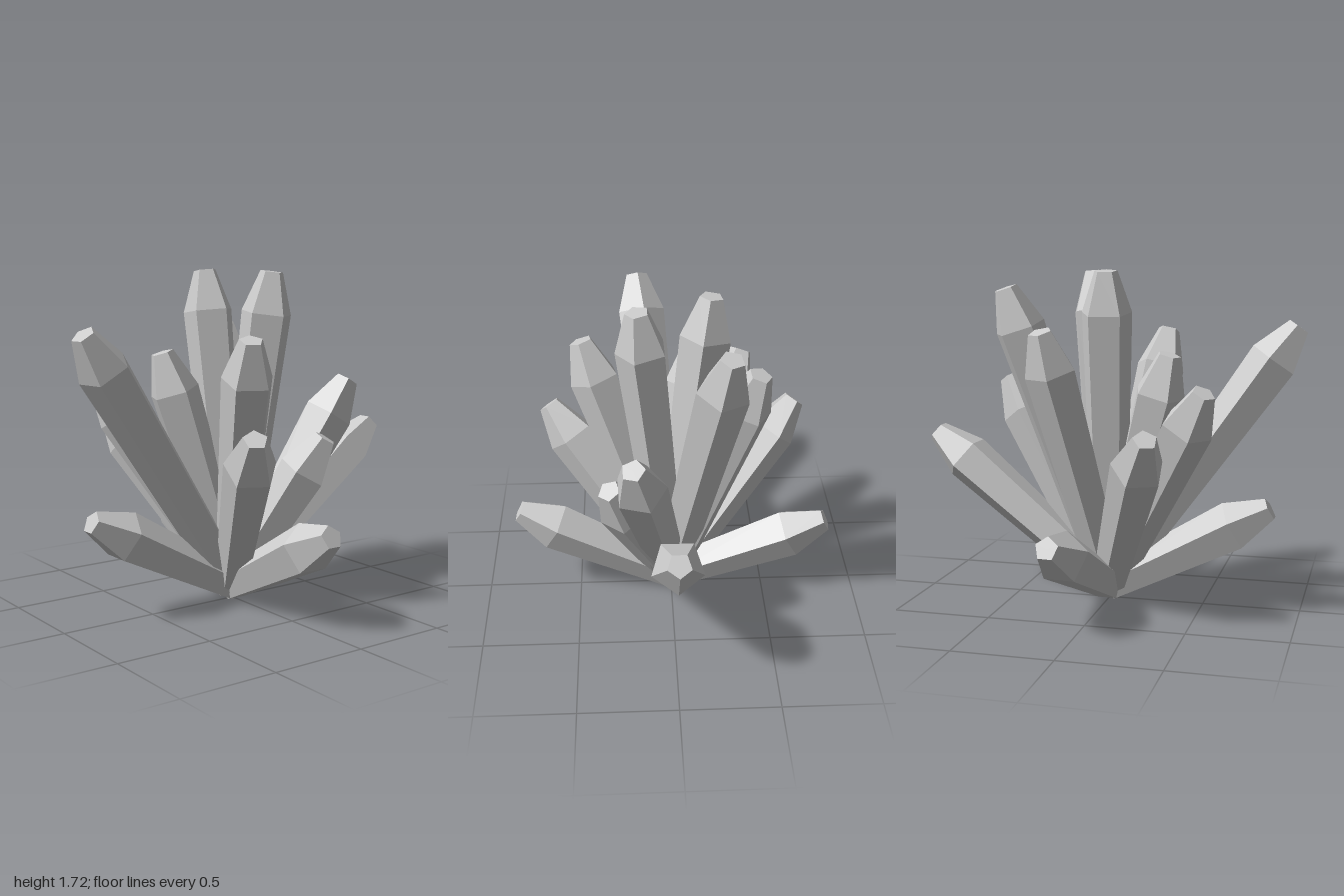
import * as THREE from 'three';

const SIDES = 5;
const ROOT = new THREE.Vector3(0, 0.07, 0);
const BASE_R = 0.092, SHOULDER_R = 0.133, TIP_R = 0.06, TIP_LENGTH = 0.21;

// Centre of each crystal's cut tip, and its roll about its own axis
const CRYSTALS = [
  // low, spreading ring
  { name: 'lowCrystalFront', tip: [0, 0.52, 0.84] },
  { name: 'lowCrystalLeft', tip: [0.81, 0.49, 0.02] },
  { name: 'lowCrystalRight', tip: [-0.82, 0.46, -0.09] },
  { name: 'lowCrystalBack', tip: [0, 0.855, -0.96], roll: Math.PI },
  // middle ring
  { name: 'midCrystalFrontLeft', tip: [0.64, 0.96, 0.34] },
  { name: 'midCrystalFrontRight', tip: [-0.68, 0.96, 0.34] },
  { name: 'midCrystalFront', tip: [-0.41, 1.15, 0.56] },
  { name: 'midCrystalBackLeft', tip: [0.32, 0.86, -0.36] },
  { name: 'midCrystalBack', tip: [0.2, 1.14, -0.61] },
  // tall, steep crystals
  { name: 'tallCrystalFront', tip: [0.155, 1.435, 0.95] },
  { name: 'tallCrystalInnerFront', tip: [-0.14, 1.305, 0.34] },
  { name: 'tallCrystalLeft', tip: [0.45, 1.395, 0.22] },
  { name: 'tallCrystalRight', tip: [-0.42, 1.425, -0.24] },
  { name: 'tallCrystalBack', tip: [-0.26, 1.63, -0.47] },
  { name: 'tallCrystalCentreRight', tip: [-0.2, 1.715, 0.03] },
  { name: 'tallCrystalCentreLeft', tip: [0.165, 1.71, -0.125] },
];

// Five-sided shaft that widens to a shoulder, then tapers to a flat tip
function crystalGeometry(length) {
  const profile = [
    [0, 0], [BASE_R, 0], [SHOULDER_R, length - TIP_LENGTH], [TIP_R, length], [0, length],
  ].map(([r, y]) => new THREE.Vector2(r, y));
  return new THREE.LatheGeometry(profile, SIDES);
}

// Stand a crystal on the root, pointing at its tip with one ridge uppermost
function makeCrystal({ name, tip, roll = 0 }, material) {
  const axis = new THREE.Vector3(...tip).sub(ROOT);
  const length = axis.length();
  axis.normalize();
  const ridge = new THREE.Vector3(0, 1, 0).addScaledVector(axis, -axis.y).normalize();
  const side = new THREE.Vector3().crossVectors(axis, ridge);

  const mesh = new THREE.Mesh(crystalGeometry(length), material);
  mesh.name = name;
  mesh.position.copy(ROOT);
  mesh.quaternion.setFromRotationMatrix(new THREE.Matrix4().makeBasis(side, axis, ridge));
  mesh.rotateY(roll);
  return mesh;
}

export function createModel() {
  const material = new THREE.MeshStandardMaterial({ color: 0xcccccc, flatShading: true });
  const cluster = new THREE.Group();
  cluster.name = 'crystalCluster';
  for (const crystal of CRYSTALS) cluster.add(makeCrystal(crystal, material));
  return cluster;
}
